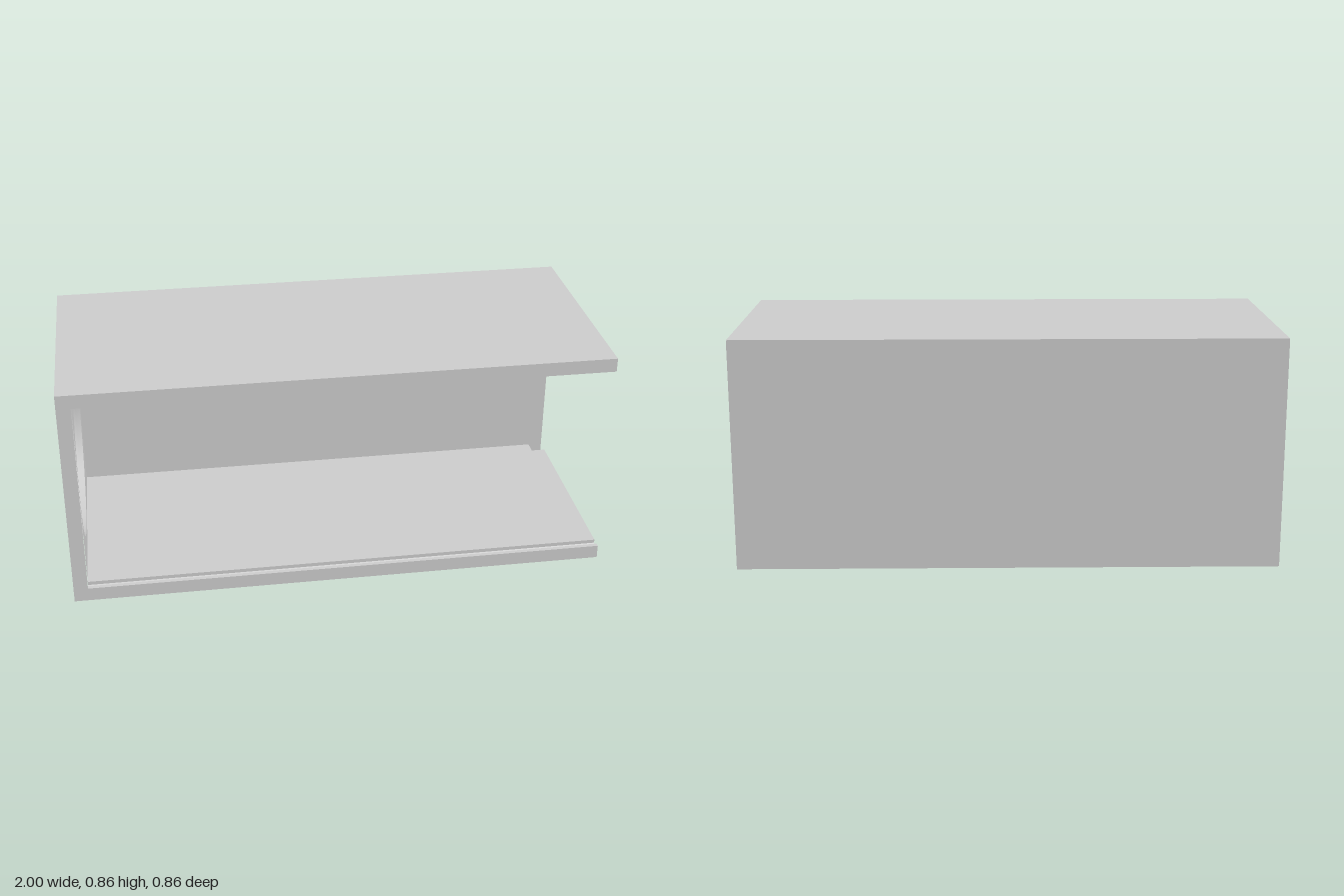
import * as THREE from 'three';
import { toCreasedNormals } from 'three/addons/utils/BufferGeometryUtils.js';

const H = 0.857, D = H / 2;            // height, half depth
const T = 0.052;                       // wall thickness
const G0 = 0.385, G1 = 0.413;          // panel groove, in z
const GB = 0.033, GT = H - GB;         // groove bottom and top, in y
const C = 0.005;                       // softened groove corners
const BACK = -D + T;                   // inner face of the back wall
const X_IN = -1 + T, X_MID = -0.968;   // end wall: inner face, depth of its recesses
const NOTCH_X = 0.945, NOTCH_Z = -0.323;

const material = new THREE.MeshStandardMaterial({ color: 0xcccccc });

// Sections are written as [z, y] and extruded along x
const toVec = ([z, y]) => new THREE.Vector2(-z, y);
const section = (points) => new THREE.Shape(points.map(toVec));

function circle(z, y, r) {
  const path = new THREE.Path();
  path.absarc(-z, y, r, 0, Math.PI * 2, false);
  return path;
}

function extrude(name, shape, x0, x1) {
  let geometry = new THREE.ExtrudeGeometry(shape, { depth: x1 - x0, bevelEnabled: false, curveSegments: 32 });
  geometry.rotateY(Math.PI / 2);
  geometry.translate(x0, 0, 0);
  geometry = toCreasedNormals(geometry, 0.5);
  const mesh = new THREE.Mesh(geometry, material);
  mesh.name = name;
  return mesh;
}

export function createModel() {
  const group = new THREE.Group();
  group.name = 'enclosure';

  // Grooved floor edge, and its mirror image for the roof
  const floorEdge = [
    [D, 0], [D, T], [G1, T], [G1, GB + C], [G1 - C, GB], [G0 + C, GB], [G0, GB + C], [G0, T],
  ];
  const roofEdge = floorEdge.map(([z, y]) => [z, H - y]).reverse();
  const backAndRoof = [[BACK, H - T], ...roofEdge, [-D, H]];

  // Main channel: floor, back wall and roof
  group.add(extrude('channel',
    section([[-D, 0], ...floorEdge, [BACK, T], ...backAndRoof]), X_IN, NOTCH_X));

  // Open end, where a notch separates the floor from the back wall
  group.add(extrude('floorEnd',
    section([[NOTCH_Z, 0], ...floorEdge, [NOTCH_Z, T]]), NOTCH_X, 1));
  group.add(extrude('backAndRoofEnd',
    section([[-D, 0], [BACK, 0], ...backAndRoof]), NOTCH_X, 1));

  // End wall with a large round opening
  const square = [[-D, 0], [D, 0], [D, H], [-D, H]];
  const opening = () => circle(0.027, D, 0.341);

  // Outer layer carries four blind screw holes
  const outer = section(square);
  outer.holes.push(opening());
  for (const sz of [-1, 1]) {
    for (const sy of [-1, 1]) outer.holes.push(circle(sz * 0.343, D + sy * 0.343, 0.022));
  }
  group.add(extrude('endWallOuter', outer, -1, X_MID));

  // Inner layer carries the upright part of the panel groove
  const inner = section(square);
  const groove = [
    [G0 + C, GB], [G1 - C, GB], [G1, GB + C], [G1, GT - C],
    [G1 - C, GT], [G0 + C, GT], [G0, GT - C], [G0, GB + C],
  ];
  inner.holes.push(opening(), new THREE.Path(groove.map(toVec)));
  group.add(extrude('endWallInner', inner, X_MID, X_IN));

  return group;
}
